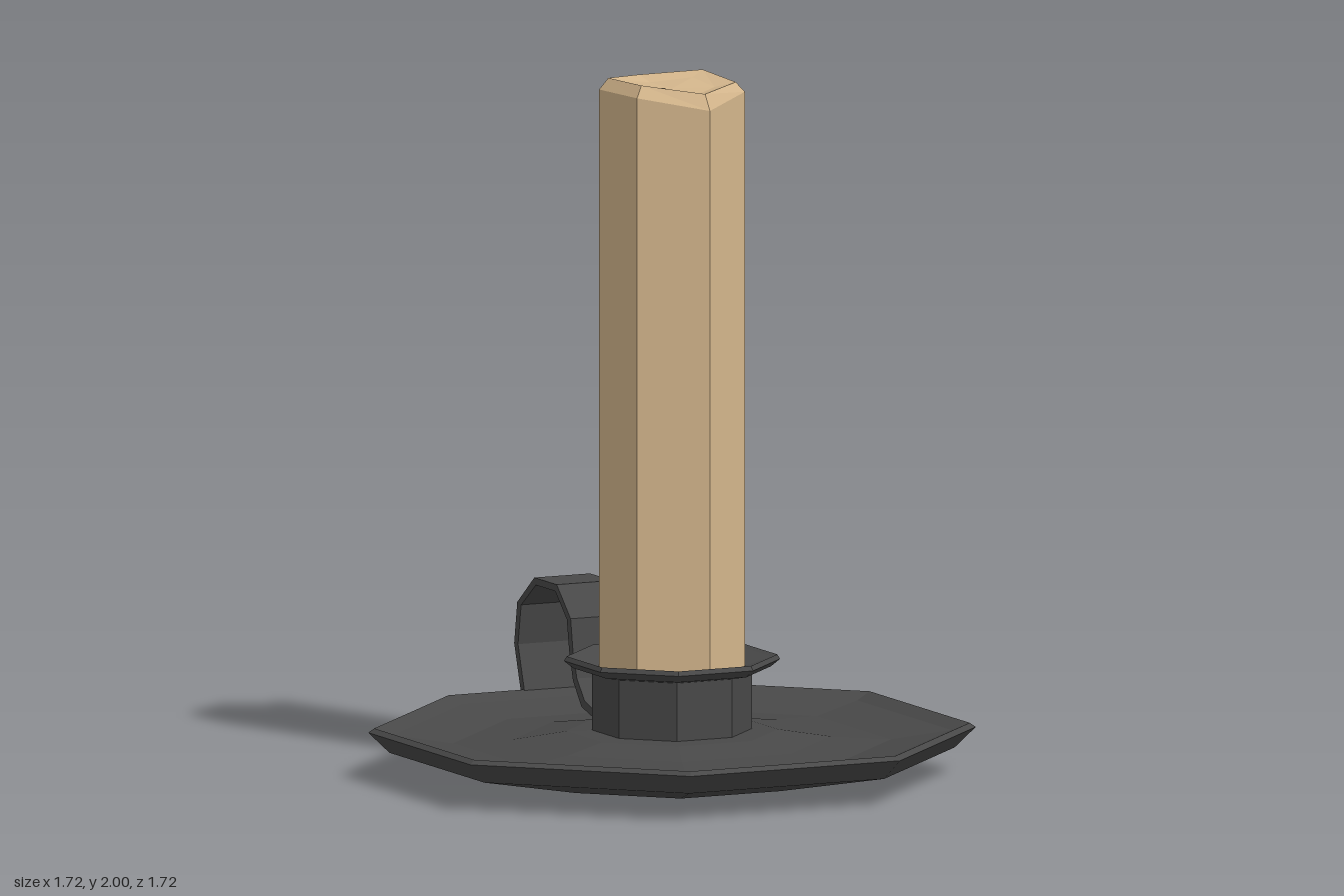
import * as THREE from 'three';

const iron = new THREE.MeshStandardMaterial({ color: 0x484848, flatShading: true, side: THREE.DoubleSide });
const wax = new THREE.MeshStandardMaterial({ color: 0xd4b68c, flatShading: true, side: THREE.DoubleSide });
const TURN = 0.038; // slight twist of the octagonal parts

const vec = (list) => list.map(([x, y]) => new THREE.Vector2(x, y));

function addMesh(group, name, geometry, material) {
  const mesh = new THREE.Mesh(geometry, material);
  mesh.name = name;
  group.add(mesh);
  return mesh;
}

const octagonal = (profile) => new THREE.LatheGeometry(vec(profile), 8, TURN);

// Six-sided candle whose chamfer and hollowed top vary in height from corner to corner
function candleGeometry() {
  const shoulder = [1.93, 1.957, 1.975, 1.952, 1.965, 1.967];
  const lip = [1.975, 1.985, 1.997, 1.983, 1.998, 2.0];
  const profile = vec([[0, 0.14], [0.206, 0.14], [0.206, 1.95], [0.18, 1.99], [0.12, 1.97], [0, 1.967]]);
  const geometry = new THREE.LatheGeometry(profile, 6, Math.PI / 6);
  const pos = geometry.attributes.position;
  for (let i = 0; i <= 6; i++) {
    const first = i * profile.length;
    pos.setY(first + 2, shoulder[i % 6]);
    pos.setY(first + 3, lip[i % 6]);
    pos.setY(first + 4, lip[i % 6] - 0.014);
  }
  return geometry;
}

// Bent flat strip: outer outline one way, inner outline back
function handleGeometry(width) {
  const outer = [[0.275, 0.135], [0.385, 0.168], [0.435, 0.225], [0.46, 0.3], [0.475, 0.39],
    [0.565, 0.475], [0.71, 0.475], [0.82, 0.39], [0.84, 0.27], [0.785, 0.1]];
  const inner = [[0.28, 0.115], [0.405, 0.148], [0.46, 0.215], [0.485, 0.298], [0.5, 0.385],
    [0.575, 0.455], [0.7, 0.455], [0.795, 0.385], [0.815, 0.27], [0.76, 0.1]];
  const shape = new THREE.Shape(vec([...outer, ...inner.reverse()]));
  const geometry = new THREE.ExtrudeGeometry(shape, { depth: width, bevelEnabled: false });
  return geometry.translate(0, 0, -width / 2);
}

export function createModel() {
  const model = new THREE.Group();
  model.name = 'candleHolder';

  // Shallow dish: thin rim, a low ring, then rising gently to the socket
  addMesh(model, 'dish', octagonal([[0, 0], [0.41, 0], [0.8, 0.075], [0.86, 0.133], [0.843, 0.145],
    [0.79, 0.125], [0.62, 0.1], [0.45, 0.11], [0.3, 0.132], [0, 0.142]]), iron);

  // Socket and its flared collar with a shallow floor around the candle
  addMesh(model, 'socket', octagonal([[0.226, 0.12], [0.226, 0.31]]), iron);
  addMesh(model, 'collar', octagonal([[0.22, 0.3], [0.28, 0.312], [0.306, 0.333], [0.298, 0.346],
    [0.284, 0.34], [0.2, 0.312], [0, 0.31]]), iron);

  addMesh(model, 'candle', candleGeometry(), wax);

  // Finger loop towards the back
  const handle = addMesh(model, 'handle', handleGeometry(0.175), iron);
  handle.rotation.y = 2.0;

  return model;
}
